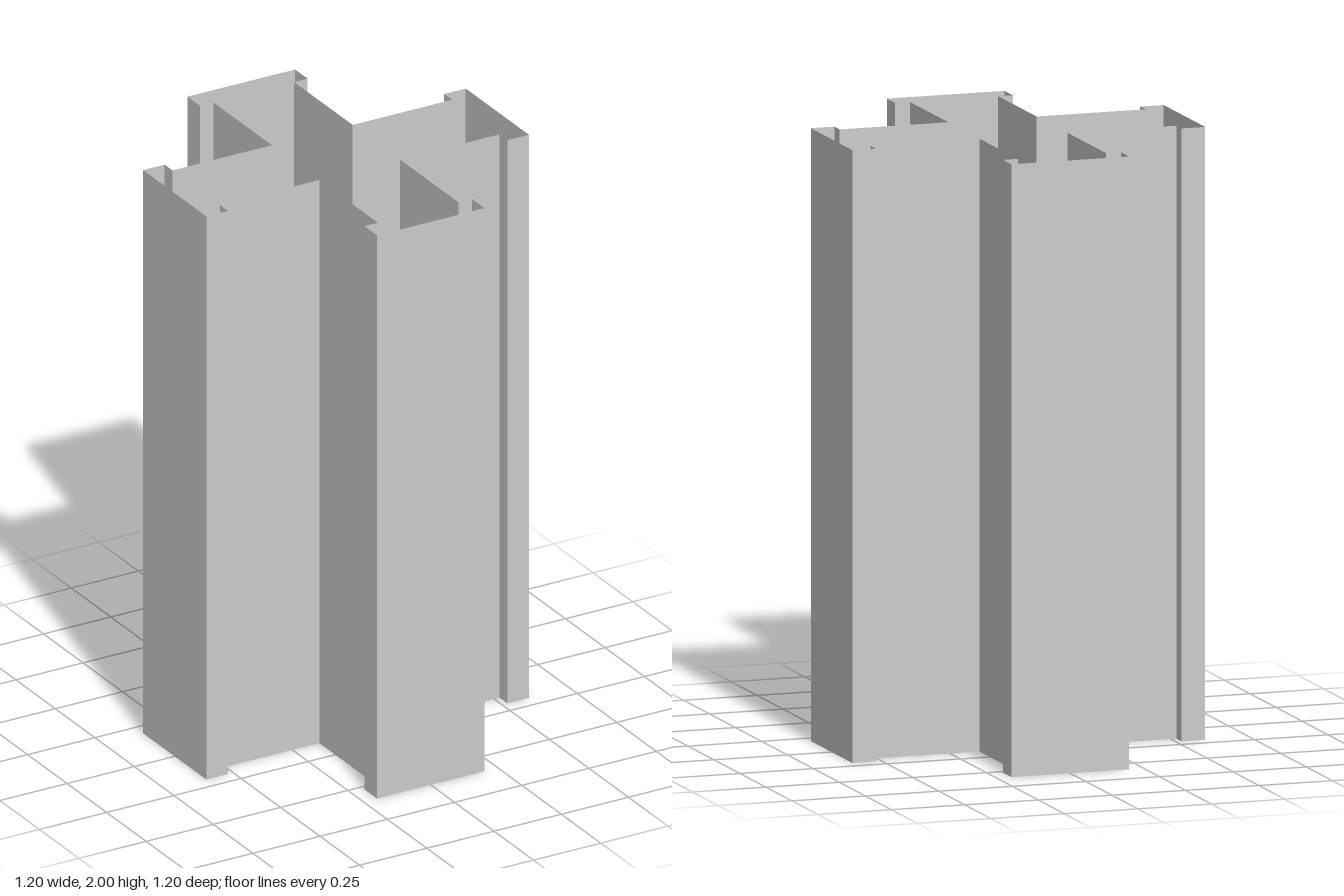
import * as THREE from 'three';

const HEIGHT = 2;
const CORE = 0.15;    // half width of an arm
const FLANGE = 0.2;   // half width of the flange at the arm's end
const LIP = 0.52;     // where the flange starts
const END = 0.6;      // outer face

// Open sheet of flat vertical walls standing on an (x, z) path
function wallGeometry(path) {
  const positions = [];
  for (let i = 0; i < path.length - 1; i++) {
    const [ax, az] = path[i];
    const [bx, bz] = path[i + 1];
    positions.push(
      ax, 0, az, ax, HEIGHT, az, bx, HEIGHT, bz,
      ax, 0, az, bx, HEIGHT, bz, bx, 0, bz
    );
  }
  const geometry = new THREE.BufferGeometry();
  geometry.setAttribute('position', new THREE.Float32BufferAttribute(positions, 3));
  geometry.computeVertexNormals();
  return geometry;
}

export function createModel() {
  const group = new THREE.Group();
  group.name = 'crossProfileTube';
  const material = new THREE.MeshStandardMaterial({
    color: 0xcccccc, flatShading: true, side: THREE.DoubleSide
  });

  // One T-shaped arm: half the path, then its mirror image
  const half = [[CORE, CORE], [CORE, LIP], [FLANGE, LIP], [FLANGE, END]];
  const path = [...half, ...half.map(([x, z]) => [-x, z]).reverse()];
  const geometry = wallGeometry(path);

  // Four arms meet at the core corners; top and bottom stay open
  ['frontArm', 'leftArm', 'backArm', 'rightArm'].forEach((name, i) => {
    const arm = new THREE.Mesh(geometry, material);
    arm.name = name;
    arm.rotation.y = i * Math.PI / 2;
    group.add(arm);
  });
  return group;
}
